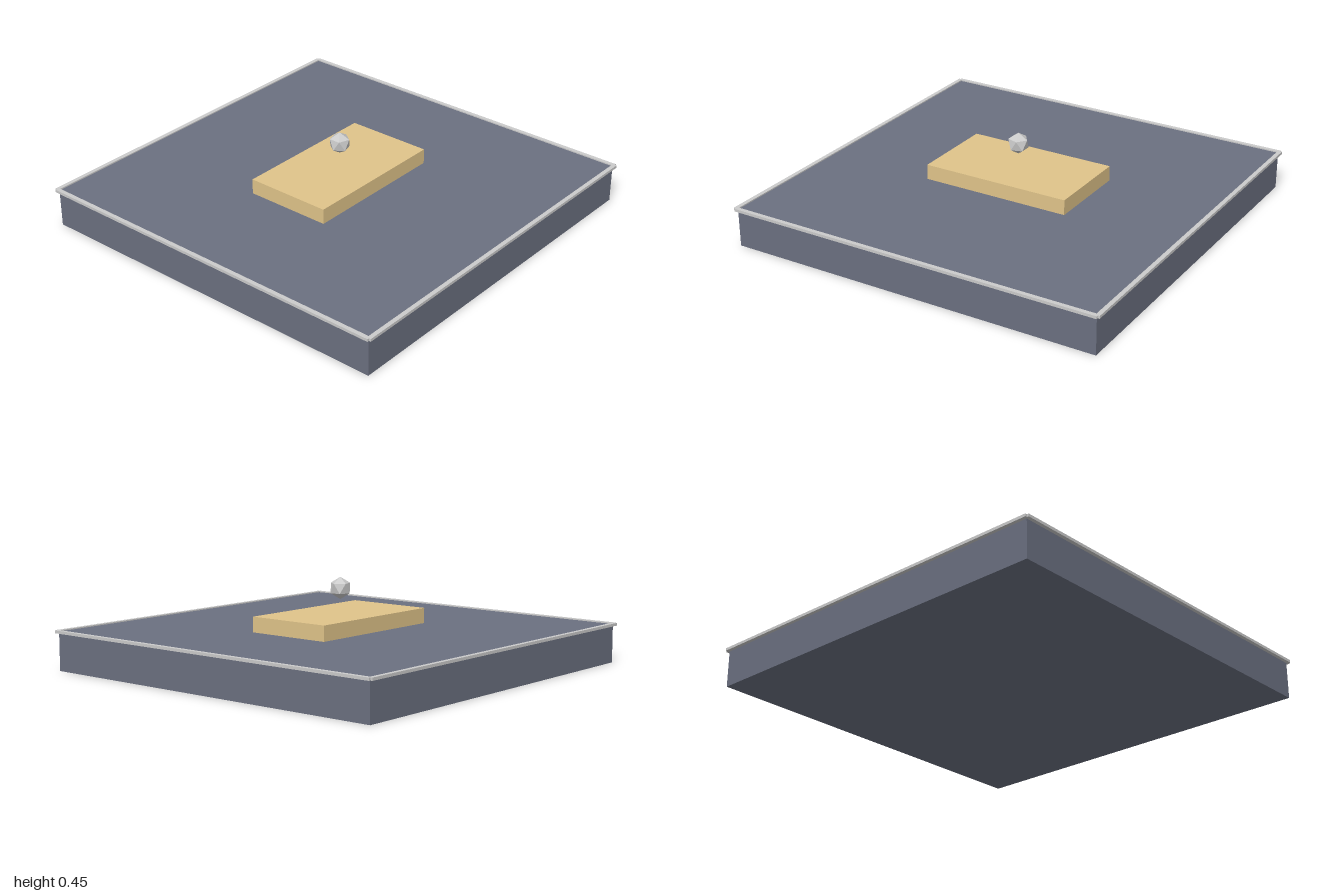
import * as THREE from 'three';

export function createModel() {
  const model = new THREE.Group();
  const mat = (color) => new THREE.MeshStandardMaterial({ color, flatShading: true });
  const slate = mat(0x6b7080), sand = mat(0xe0c48a), grey = mat(0xcccccc);

  const add = (name, geometry, material, x, y, z) => {
    const mesh = new THREE.Mesh(geometry, material);
    mesh.name = name;
    mesh.position.set(x, y, z);
    model.add(mesh);
    return mesh;
  };

  // Square base slab and the raised block on it
  add('base', new THREE.BoxGeometry(1.964, 0.198, 1.964), slate, 0, 0.099, 0);
  add('block', new THREE.BoxGeometry(0.786, 0.079, 0.456), sand, 0, 0.2365, 0);

  // Thin rim: one bar along each top edge, leaving small notches at the corners
  for (const s of [-1, 1]) {
    add('rimBar', new THREE.BoxGeometry(1.98, 0.014, 0.022), grey, 0, 0.197, s * 0.989);
    add('rimBar', new THREE.BoxGeometry(0.022, 0.014, 1.98), grey, s * 0.989, 0.197, 0);
  }

  // Floating faceted ball, turned so that one corner points straight up
  const ball = new THREE.IcosahedronGeometry(0.056, 0);
  ball.rotateZ(-Math.atan(2 / (1 + Math.sqrt(5))));
  add('facetedBall', ball, grey, 0, 0.398, 0);

  return model;
}
